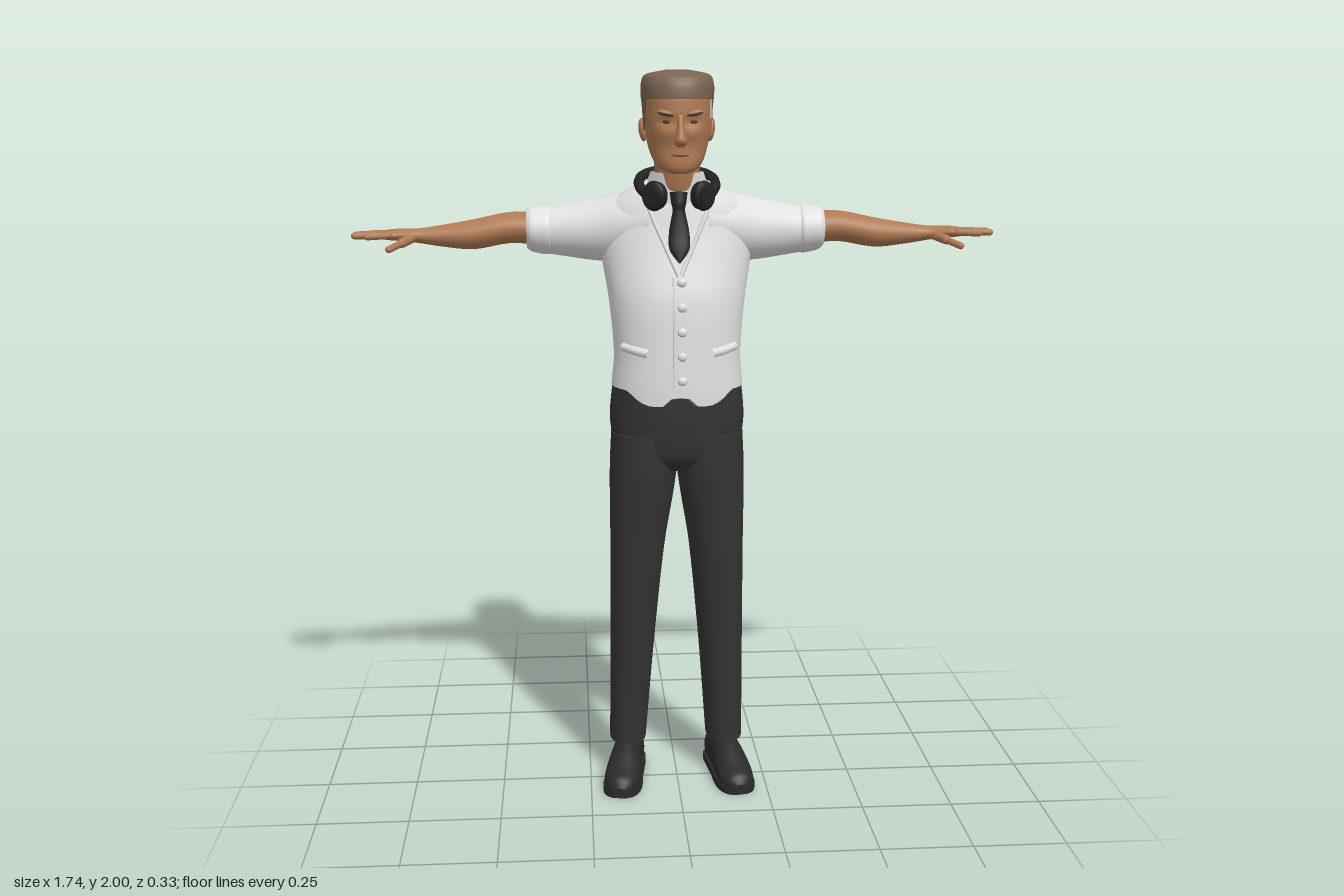
import * as THREE from 'three';

const mat = (name, color, side = THREE.FrontSide) => {
  const m = new THREE.MeshStandardMaterial({ color, side });
  m.name = name;
  return m;
};
const V = (x, y, z) => new THREE.Vector3(x, y, z);
const ss = THREE.MathUtils.smoothstep;

// Smooth interpolation of a table of cross-sections [t, centreA, centreB, radiusA, radiusB]
function at(rows, t) {
  let i = 0;
  while (i < rows.length - 2 && t > rows[i + 1][0]) i++;
  const p = rows[i], q = rows[i + 1], h = q[0] - p[0];
  const u = Math.min(1, Math.max(0, (t - p[0]) / h));
  const slope = (j, k) => {
    const a = rows[Math.max(0, j - 1)], b = rows[Math.min(rows.length - 1, j + 1)];
    return (b[k] - a[k]) / (b[0] - a[0]);
  };
  return [1, 2, 3, 4].map((k) => {
    const u2 = u * u, u3 = u2 * u;
    const v = (2 * u3 - 3 * u2 + 1) * p[k] + (u3 - 2 * u2 + u) * h * slope(i, k)
      + (3 * u2 - 2 * u3) * q[k] + (u3 - u2) * h * slope(i + 1, k);
    return k > 2 ? Math.max(v, 0.001) : v;
  });
}

// Closed body swept along an axis; lo and hi shape the edges, fix adjusts points
// Axis y: a = x, b = z. Axis x: a = z, b = y. Axis z: a = y, b = x.
function loft(axis, rows, { e = 2, n = 40, m = 28, lo, hi, cap = true, fix } = {}) {
  const pos = [], idx = [], first = rows[0][0], last = rows[rows.length - 1][0];
  const put = (t, a, b) => {
    const p = axis === 'y' ? V(a, t, b) : axis === 'x' ? V(t, b, a) : V(b, a, t);
    if (fix) fix(p);
    return pos.push(p.x, p.y, p.z) / 3 - 1;
  };
  const ring = (v) => {
    for (let i = 0; i < n; i++) {
      const th = (i / n) * Math.PI * 2, c = Math.cos(th), s = Math.sin(th);
      const t0 = lo ? lo(s, c) : first, t1 = hi ? hi(s, c) : last;
      const t = t0 + (t1 - t0) * v, [ca, cb, ra, rb] = at(rows, t);
      put(t, ca + ra * Math.sign(c) * Math.abs(c) ** (2 / e), cb + rb * Math.sign(s) * Math.abs(s) ** (2 / e));
    }
  };
  for (let j = 0; j <= m; j++) ring(j / m);
  for (let j = 0; j < m; j++) for (let i = 0; i < n; i++) {
    const a = j * n + i, b = j * n + (i + 1) % n;
    idx.push(a, a + n, b, b, a + n, b + n);
  }
  if (cap) for (const v of [0, 1]) {
    const base = pos.length / 3;
    ring(v);
    const [ca, cb] = at(rows, v ? last : first), mid = put(v ? last : first, ca, cb);
    for (let i = 0; i < n; i++) {
      const a = base + i, b = base + (i + 1) % n;
      v ? idx.push(mid, b, a) : idx.push(mid, a, b);
    }
  }
  const g = new THREE.BufferGeometry();
  g.setAttribute('position', new THREE.Float32BufferAttribute(pos, 3));
  g.setIndex(idx);
  g.computeVertexNormals();
  return g;
}

const blob = (x, y, z, rx, ry, rz, tilt = 0) =>
  new THREE.SphereGeometry(1, 20, 14).scale(rx, ry, rz).rotateZ(tilt).translate(x, y, z);
const tube = (pts, r, closed = false) =>
  new THREE.TubeGeometry(new THREE.CatmullRomCurve3(pts, closed), 40, r, 10, closed);
function finger(a, b, r) {
  const d = b.clone().sub(a), g = new THREE.CapsuleGeometry(r, d.length(), 6, 12);
  g.applyQuaternion(new THREE.Quaternion().setFromUnitVectors(V(0, 1, 0), d.clone().normalize()));
  return g.translate((a.x + b.x) / 2, (a.y + b.y) / 2, (a.z + b.z) / 2);
}
function mirrored(g) {
  const c = g.clone().scale(-1, 1, 1), ix = c.index.array;
  for (let i = 0; i < ix.length; i += 3) [ix[i], ix[i + 1]] = [ix[i + 1], ix[i]];
  return c;
}

export function createModel() {
  const model = new THREE.Group();
  model.name = 'standingMan';
  const skin = mat('skin', 0xb07a54), hair = mat('hair', 0x7a6450), lips = mat('lips', 0x8e5d45);
  const white = mat('whiteCloth', 0xe0e0e0, THREE.DoubleSide), cloth = mat('trouserCloth', 0x343434);
  const leather = mat('shoeLeather', 0x2a2a2a), black = mat('blackPlastic', 0x222224);
  const brown = mat('darkBrown', 0x4a3628);
  const add = (name, g, m) => {
    const mesh = new THREE.Mesh(g, m);
    mesh.name = name;
    model.add(mesh);
  };
  const both = (name, g, m) => {
    add(name + 'Left', g, m);
    add(name + 'Right', mirrored(g), m);
  };

  // Trousers
  add('trouserSeat', loft('y', [[0.93, 0, -0.01, 0.09, 0.09], [0.97, 0, -0.01, 0.155, 0.118],
    [1.05, 0, -0.012, 0.184, 0.133], [1.18, 0, -0.004, 0.176, 0.134]], { e: 2.4 }), cloth);
  both('trouserLeg', loft('y', [[0.11, 0.14, -0.055, 0.052, 0.082], [0.4, 0.127, -0.033, 0.062, 0.088],
    [0.7, 0.111, -0.017, 0.076, 0.103], [0.92, 0.094, -0.01, 0.093, 0.119],
    [1.03, 0.092, -0.012, 0.09, 0.126]], { e: 2.3 }), cloth);

  // Shoes: upper and flat sole, toes turned out
  const shoeRows = [[-0.14, 0.04, 0, 0.02, 0.02], [-0.125, 0.045, 0, 0.05, 0.036], [-0.06, 0.052, 0, 0.068, 0.042],
    [0, 0.05, 0, 0.066, 0.045], [0.05, 0.04, 0, 0.055, 0.05], [0.1, 0.03, 0, 0.038, 0.049],
    [0.138, 0.025, 0, 0.025, 0.034], [0.15, 0.02, 0, 0.01, 0.014]];
  const place = (g) => g.rotateY(0.17).translate(0.147, 0, 0);
  both('shoeUpper', place(loft('z', shoeRows, { fix: (p) => { p.y = Math.max(p.y, 0.01); } })), leather);
  both('shoeSole', place(loft('z', shoeRows.map(([z, , , , r]) => [z, 0.01, 0, 0.05, r + 0.004]),
    { e: 3, fix: (p) => { p.y = Math.min(0.02, Math.max(0, p.y)); } })), leather);

  // Waistcoat and shirt body, hem dipping at the front
  const body = [[1.11, 0, 0, 0.18, 0.146], [1.16, 0, -0.001, 0.18, 0.147], [1.25, 0, 0, 0.173, 0.142],
    [1.4, 0, -0.012, 0.186, 0.142], [1.5, 0, -0.031, 0.202, 0.134], [1.58, 0, -0.04, 0.21, 0.122],
    [1.64, 0, -0.04, 0.195, 0.11], [1.68, 0, -0.03, 0.145, 0.09], [1.71, 0, -0.02, 0.09, 0.07]];
  const bodyE = 2.25;
  const frontZ = (x, y) => {
    const [, cz, rx, rz] = at(body, y);
    return cz + rz * (1 - Math.min(1, Math.abs(x / rx)) ** bodyE) ** (1 / bodyE);
  };
  add('shirtBody', loft('y', body, { e: bodyE, n: 56, m: 40,
    lo: (s, c) => 1.16 - 0.04 * ss(s, 0.6, 0.95) + 0.025 * ss(s, 0.97, 1) }), white);

  // Sleeves with rolled cuffs
  both('sleeve', loft('x', [[0.08, -0.045, 1.598, 0.118, 0.094], [0.16, -0.054, 1.585, 0.106, 0.092],
    [0.22, -0.06, 1.578, 0.092, 0.084], [0.3, -0.065, 1.576, 0.076, 0.071],
    [0.35, -0.066, 1.575, 0.068, 0.062]]), white);
  both('sleeveCuff', loft('x', [[0.335, -0.066, 1.576, 0.066, 0.058], [0.345, -0.066, 1.576, 0.075, 0.065],
    [0.37, -0.066, 1.577, 0.074, 0.064], [0.395, -0.066, 1.579, 0.071, 0.059],
    [0.405, -0.066, 1.58, 0.062, 0.052]]), white);

  // Waistcoat neckline, front edge, buttons and pockets
  const onFront = (x, y, out = 0) => V(x, y, frontZ(x, y) + out);
  both('neckline', tube([[0.088, 1.675], [0.07, 1.62], [0.04, 1.55], [0.002, 1.465]]
    .map(([x, y]) => onFront(x, y, 0.001)), 0.006), white);
  add('frontEdge', tube([1.465, 1.38, 1.28, 1.17].map((y) => onFront(-0.016, y, -0.001)), 0.004), white);
  for (const y of [1.45, 1.385, 1.32, 1.255, 1.19]) {
    const p = onFront(0.005, y, 0.002);
    add('button', blob(p.x, p.y, p.z, 0.013, 0.012, 0.008), white);
  }
  both('pocketWelt', tube([[0.085, 1.262], [0.115, 1.267], [0.15, 1.275]]
    .map(([x, y]) => onFront(x, y, 0)), 0.012), white);

  // Collar and tie
  add('collar', loft('y', [[1.655, 0, -0.018, 0.105, 0.088], [1.695, 0, -0.012, 0.086, 0.082],
    [1.735, 0, 0.002, 0.071, 0.076]], { cap: false, m: 10, n: 64,
    hi: (s) => 1.735 - 0.05 * ss(s, 0.8, 1) }), white);
  add('tie', loft('y', [[1.5, 0, 1.5, 0.002, 0.006], [1.535, 0, 1.535, 0.026, 0.009],
    [1.58, 0, 1.58, 0.027, 0.01], [1.64, 0, 1.64, 0.016, 0.012], [1.65, 0, 1.65, 0.019, 0.016],
    [1.685, 0, 1.68, 0.024, 0.018]].map(([y, x, k, a, b]) => [y, x, frontZ(0, k) + 0.004, a, b])), black);

  // Neck and head
  add('neck', loft('y', [[1.64, 0, -0.02, 0.072, 0.068], [1.72, 0, 0.004, 0.061, 0.066],
    [1.81, 0, 0.008, 0.064, 0.075]]), skin);
  add('head', loft('y', [[1.733, 0, 0.092, 0.02, 0.02], [1.742, 0, 0.075, 0.044, 0.046],
    [1.76, 0, 0.055, 0.062, 0.07], [1.8, 0, 0.028, 0.078, 0.097], [1.85, 0, 0.02, 0.086, 0.113],
    [1.9, 0, 0.016, 0.087, 0.117], [1.94, 0, 0.014, 0.086, 0.113], [1.97, 0, 0.012, 0.07, 0.09]],
  { e: 2.25, n: 48, m: 40, fix: (p) => { // eye sockets and cheeks
    if (p.z < 0.05) return;
    const d = ((Math.abs(p.x) - 0.035) / 0.022) ** 2;
    p.z -= 0.009 * Math.exp(-d - ((p.y - 1.868) / 0.014) ** 2);
    p.z += 0.004 * Math.exp(-d - ((p.y - 1.835) / 0.016) ** 2);
  } }), skin);
  add('nose', loft('y', [[1.803, 0, 0.133, 0.01, 0.012], [1.812, 0, 0.135, 0.017, 0.025],
    [1.822, 0, 0.134, 0.016, 0.03], [1.85, 0, 0.13, 0.01, 0.021], [1.885, 0, 0.127, 0.009, 0.01]]), skin);
  add('chin', blob(0, 1.75, 0.098, 0.03, 0.016, 0.026), skin);
  add('mouth', blob(0, 1.783, 0.123, 0.024, 0.0055, 0.007), lips);
  both('ear', blob(0.091, 1.845, -0.005, 0.011, 0.031, 0.019, -0.12), skin);
  both('browRidge', blob(0.035, 1.889, 0.121, 0.026, 0.008, 0.012, 0.15), skin);
  both('eyebrow', blob(0.036, 1.886, 0.127, 0.023, 0.0045, 0.008, 0.18), brown);
  both('eye', blob(0.034, 1.867, 0.119, 0.012, 0.005, 0.006), brown);

  // Short flat-topped hair with sideburns
  add('hair', loft('y', [[1.78, 0, 0.014, 0.078, 0.1], [1.84, 0, 0.017, 0.09, 0.121],
    [1.9, 0, 0.014, 0.093, 0.124], [1.94, 0, 0.014, 0.097, 0.124], [1.97, 0, 0.012, 0.095, 0.117],
    [1.99, 0, 0.01, 0.081, 0.093], [2, 0, 0.008, 0.03, 0.035]],
  { e: 2.2, n: 72, m: 32, cap: false,
    lo: (s) => 1.79 + 0.055 * ss(s, -0.25, -0.05) + 0.08 * ss(s, 0.28, 0.48) }), hair);
  add('hairCrown', blob(0, 1.99, 0.009, 0.06, 0.01, 0.07), hair);

  // Forearms and hands
  both('forearm', loft('x', [[0.36, -0.068, 1.579, 0.055, 0.044], [0.45, -0.066, 1.583, 0.056, 0.042],
    [0.55, -0.058, 1.566, 0.048, 0.04], [0.64, -0.054, 1.563, 0.036, 0.028], [0.7, -0.05, 1.564, 0.028, 0.019],
    [0.735, -0.044, 1.567, 0.038, 0.017], [0.78, -0.036, 1.568, 0.046, 0.013],
    [0.797, -0.036, 1.568, 0.036, 0.007]]), skin);
  const tips = [[0.825, 0.014, 0], [0.862, -0.014, -0.022], [0.862, -0.05, -0.044], [0.832, -0.083, -0.066]];
  for (const [x, z, z0] of tips) both('finger', finger(V(0.77, 1.569, z0), V(x, 1.567, z), 0.0095), skin);
  both('thumbBase', finger(V(0.71, 1.56, -0.035), V(0.735, 1.55, 0.015), 0.013), skin);
  both('thumb', finger(V(0.735, 1.55, 0.015), V(0.765, 1.537, 0.058), 0.0095), skin);

  // Headphones resting round the neck
  add('headphoneBand', tube([V(-0.082, 1.675, 0.07), V(-0.102, 1.7, 0.02), V(-0.085, 1.725, -0.05),
    V(0, 1.737, -0.09), V(0.085, 1.725, -0.05), V(0.102, 1.7, 0.02), V(0.082, 1.675, 0.07)], 0.014), black);
  const cup = (g) => g.scale(0.85, 1, 1).rotateY(0.55).translate(0.066, 1.675, 0.077);
  both('headphoneCup', cup(new THREE.CylinderGeometry(0.026, 0.037, 0.036, 28).rotateX(Math.PI / 2)), black);
  both('earPad', cup(new THREE.TorusGeometry(0.028, 0.012, 10, 28)), black);
  return model;
}
